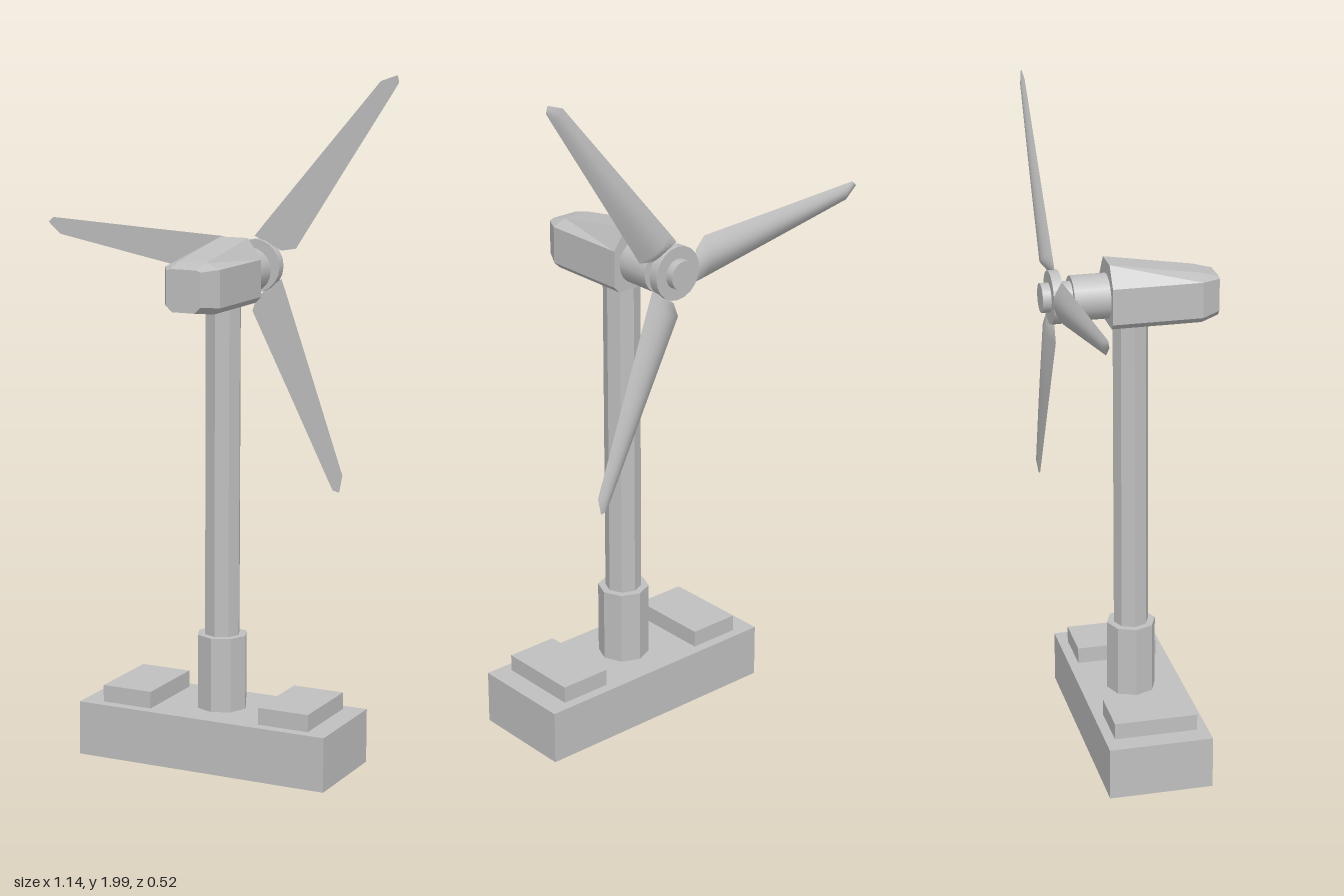
import * as THREE from 'three';

const grey = new THREE.MeshStandardMaterial({ color: 0xbfbfbf, flatShading: true, side: THREE.DoubleSide });
grey.name = 'flat grey';
const smoothGrey = new THREE.MeshStandardMaterial({ color: 0xbfbfbf, side: THREE.DoubleSide });
smoothGrey.name = 'smooth grey';

const AXIS_X = 0.131, HUB_Y = 1.433;

function add(parent, name, geometry, x, y, z, material = grey) {
  const mesh = new THREE.Mesh(geometry, material);
  mesh.name = name;
  mesh.position.set(x, y, z);
  parent.add(mesh);
  return mesh;
}

// Cylinder lying along z between two depths
function axle(parent, name, radius, z0, z1, y) {
  const geometry = new THREE.CylinderGeometry(radius, radius, Math.abs(z1 - z0), 20).rotateX(Math.PI / 2);
  return add(parent, name, geometry, AXIS_X, y, (z0 + z1) / 2, smoothGrey);
}

// Loft closed cross-sections, capping both ends with fans
function loft(sections) {
  const n = sections[0].length, index = [];
  for (let s = 0; s < sections.length - 1; s++) {
    for (let i = 0; i < n; i++) {
      const a = s * n + i, b = s * n + (i + 1) % n;
      index.push(a, b, b + n, a, b + n, a + n);
    }
  }
  const last = (sections.length - 1) * n;
  for (let i = 1; i < n - 1; i++) {
    index.push(0, i + 1, i, last, last + i, last + i + 1);
  }
  const geometry = new THREE.BufferGeometry();
  geometry.setAttribute('position', new THREE.Float32BufferAttribute(sections.flat(2), 3));
  geometry.setIndex(index);
  geometry.computeVertexNormals();
  return geometry;
}

// Housing outline at one depth, counter-clockwise seen from the front
function housingSection(z, side, bottom, shoulder, top, ridge) {
  const chamfer = 0.018;
  const half = [[side - chamfer, bottom], [side, bottom + chamfer], [side, shoulder], [ridge, top]];
  const mirrored = half.map(([x, y]) => [-x, y]).reverse();
  return [...half, ...mirrored].map(([x, y]) => [x, y, z]);
}

// Blade stations: distance and offset of each edge, then thickness
const STATIONS = [
  [0.085, -0.034, 0.063, 0.059, 0.004],
  [0.119, -0.065, 0.110, 0.057, 0.026],
  [0.390, -0.043, 0.390, 0.042, 0.019],
  [0.660, -0.022, 0.662, 0.027, 0.010],
  [0.693, -0.019, 0.706, -0.002, 0.002],
];

// One blade skin: flat when bulge is 0, arched to the back when 1
function bladeSkin(columns, bulge) {
  const geometry = new THREE.PlaneGeometry(1, 1, columns, STATIONS.length - 1);
  const p = geometry.attributes.position;
  for (let i = 0; i < p.count; i++) {
    const [ua, va, ub, vb, thick] = STATIONS[Math.floor(i / (columns + 1))];
    const t = (i % (columns + 1)) / columns;
    p.setXYZ(i, ua + (ub - ua) * t, va + (vb - va) * t, -bulge * thick * Math.sin(Math.PI * t));
  }
  // The front skin is turned over so that it faces +z
  if (!bulge) geometry.setIndex(Array.from(geometry.index.array).reverse());
  geometry.computeVertexNormals();
  // Keep normals and winding pointing outward
  if ((geometry.attributes.normal.getZ(0) > 0) === (bulge > 0)) {
    geometry.setIndex(Array.from(geometry.index.array).reverse());
    geometry.computeVertexNormals();
  }
  return geometry;
}

export function createModel() {
  const model = new THREE.Group();
  model.name = 'windTurbine';

  // Hollow base, open underneath
  const shell = new THREE.BoxGeometry(0.784, 0.16, 0.312);
  shell.setIndex(Array.from(shell.index.array).filter((_, i) => i < 18 || i >= 24));
  shell.clearGroups();
  add(model, 'base', shell, 0.132, 0.08, 0.004);

  // Raised pads on both sides of the tower
  for (const side of [-1, 1]) {
    add(model, 'pad', new THREE.BoxGeometry(0.156, 0.14, 0.25), 0.132 + side * 0.251, 0.14, 0.003);
  }

  // Octagonal tower and its collar
  add(model, 'collar', new THREE.CylinderGeometry(0.075, 0.075, 0.23, 8), AXIS_X, 0.265, 0.005);
  add(model, 'tower', new THREE.CylinderGeometry(0.053, 0.053, 0.99, 8), AXIS_X, 0.865, 0.005);

  // Faceted housing with a rising roof and tapered nose
  add(model, 'housing', loft([
    housingSection(-0.066, 0.085, 1.345, 1.47, 1.53, 0.043),
    housingSection(0.2, 0.085, 1.345, 1.47, 1.487, 0.043),
    housingSection(0.257, 0.053, 1.352, 1.467, 1.472, 0.04),
  ]), AXIS_X, 0, 0);

  // Neck, shaft and hub disc
  axle(model, 'neck', 0.066, -0.06, -0.172, 1.425);
  axle(model, 'shaft', 0.043, -0.17, -0.26, HUB_Y);
  axle(model, 'hubDisc', 0.078, -0.206, -0.235, HUB_Y);

  // Three blades around the hub
  const rotor = new THREE.Group();
  rotor.name = 'rotor';
  rotor.position.set(AXIS_X, HUB_Y, -0.219);
  model.add(rotor);
  const front = bladeSkin(1, 0), back = bladeSkin(8, 1);
  for (let i = 0; i < 3; i++) {
    const blade = new THREE.Group();
    blade.name = 'blade';
    blade.rotation.z = THREE.MathUtils.degToRad(52.5 + i * 120);
    add(blade, 'bladeFront', front, 0, 0, 0, smoothGrey);
    add(blade, 'bladeBack', back, 0, 0, 0, smoothGrey);
    rotor.add(blade);
  }

  return model;
}
